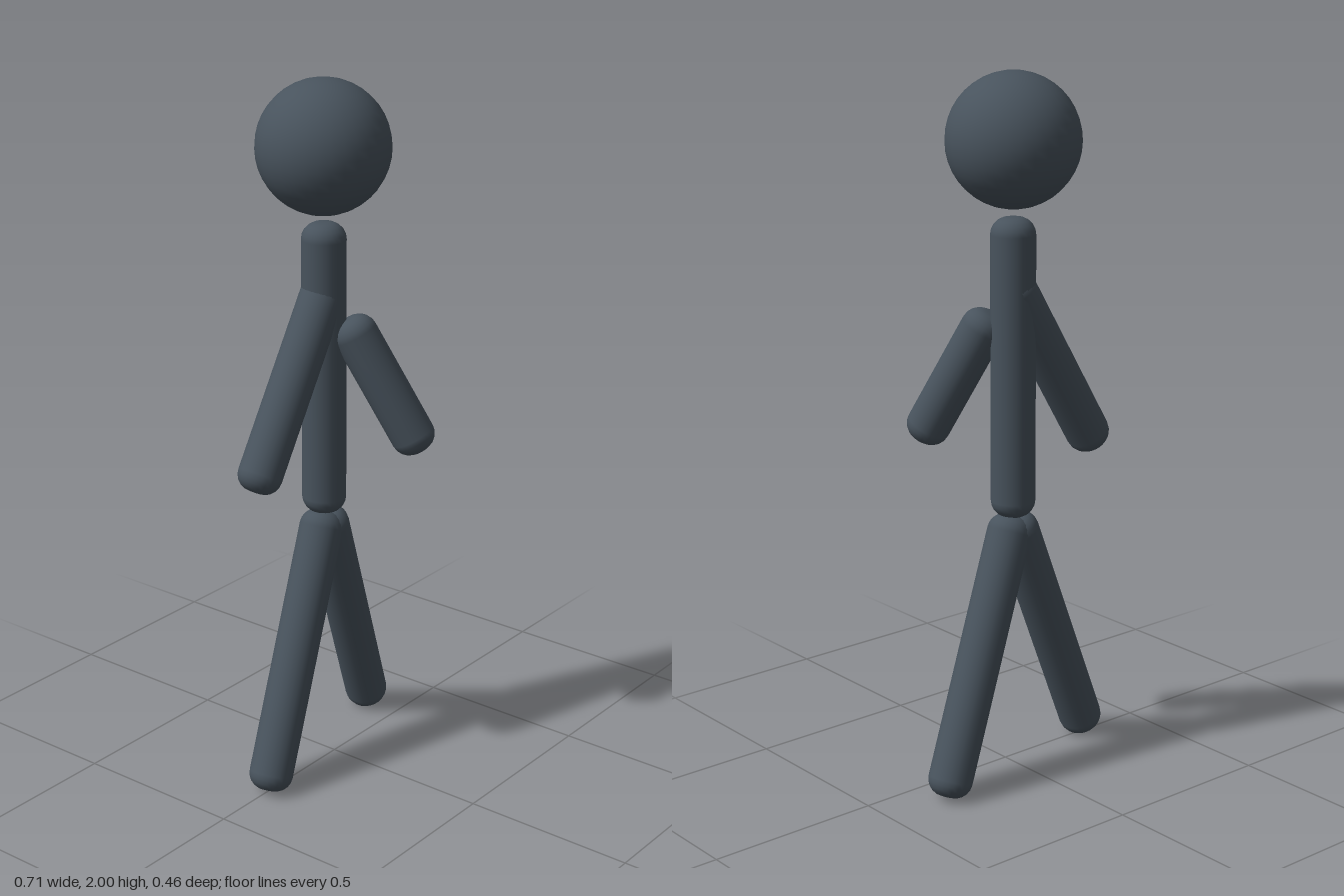
import * as THREE from 'three';

export function createModel() {
  const model = new THREE.Group();
  const slate = new THREE.MeshStandardMaterial({ color: 0x48535d });
  slate.name = 'slate grey';

  // Round bar with softly rounded ends, running between two end centres
  function bar(name, from, to, radius = 0.063, cap = 0.06, fillet = 0.048) {
    const a = new THREE.Vector3(...from);
    const b = new THREE.Vector3(...to);
    const half = a.distanceTo(b) / 2 + cap;
    const profile = [new THREE.Vector2(0, -half)];
    const steps = 5;
    for (const side of [-1, 1]) {
      for (let i = 0; i <= steps; i++) {
        const t = (side < 0 ? steps - i : i) / steps * Math.PI / 2;
        profile.push(new THREE.Vector2(
          radius - fillet + fillet * Math.cos(t),
          side * (half - fillet + fillet * Math.sin(t))
        ));
      }
    }
    profile.push(new THREE.Vector2(0, half));
    const mesh = new THREE.Mesh(new THREE.LatheGeometry(profile, 24), slate);
    mesh.name = name;
    mesh.position.copy(a).add(b).multiplyScalar(0.5);
    mesh.quaternion.setFromUnitVectors(new THREE.Vector3(0, 1, 0), b.sub(a).normalize());
    model.add(mesh);
  }

  // Floating ball head
  const head = new THREE.Mesh(new THREE.SphereGeometry(0.186, 32, 20), slate);
  head.name = 'head';
  head.position.set(0.01, 1.814, -0.046);
  model.add(head);

  // Torso, then limbs in a walking pose
  bar('torso', [0.01, 0.815, -0.045], [0.01, 1.545, -0.045]);
  bar('leftArm', [0.135, 1.007, 0.166], [0.056, 1.28, 0.037]);
  bar('rightArm', [-0.262, 0.96, -0.047], [0, 1.39, -0.047]);
  bar('leftLeg', [0.287, 0.064, -0.106], [0.027, 0.70, -0.045]);
  bar('rightLeg', [-0.29, 0.064, 0.002], [-0.01, 0.70, -0.043]);

  return model;
}
